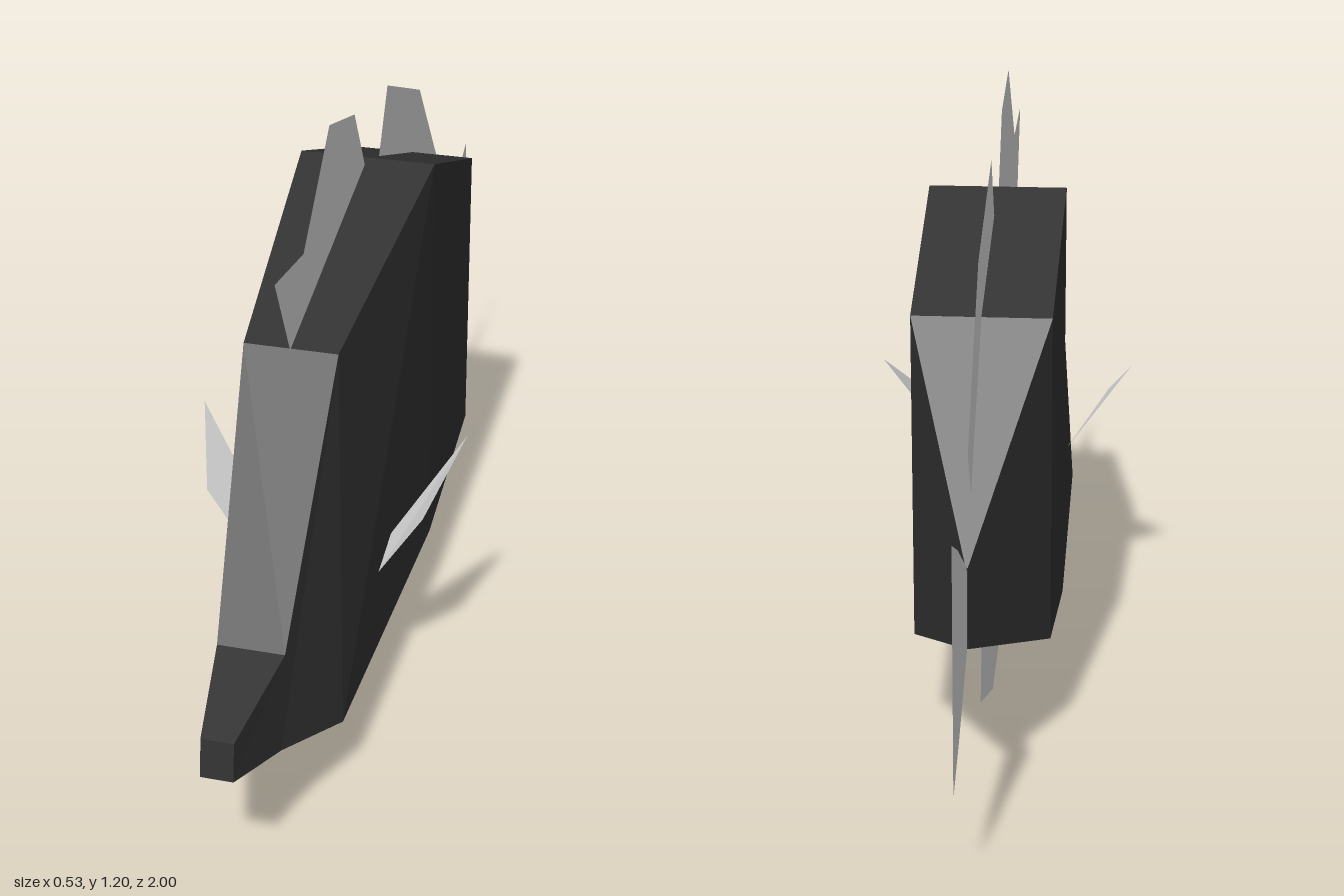
import * as THREE from 'three';

const bodyMat = new THREE.MeshStandardMaterial({ name: 'charcoal skin', color: 0x323232, flatShading: true });
const finMat = new THREE.MeshStandardMaterial({ name: 'pale fin', color: 0xe0e0e0, side: THREE.DoubleSide, flatShading: true });

function facets(triangles) {
  const geo = new THREE.BufferGeometry();
  geo.setAttribute('position', new THREE.Float32BufferAttribute(triangles.flat(2), 3));
  geo.computeVertexNormals();
  return geo;
}

const quad = (a, b, c, d) => [[a, b, c], [a, c, d]];

// Body: slanted four-cornered sections, snout to tail
// each: top z, top y, top half width, bottom z, bottom y, bottom half width
function bodyGeometry() {
  const sections = [
    [0.99, 0.37, 0.03, 1.0, 0.295, 0.03],
    [0.79, 0.42, 0.063, 0.83, 0.24, 0.065],
    [0.51, 0.88, 0.088, 0.63, 0.165, 0.125],
    [-0.04, 1.02, 0.135, -0.05, 0.165, 0.135],
    [-0.43, 0.87, 0.13, -0.43, 0.235, 0.13],
    [-0.74, 0.51, 0.002, -0.74, 0.355, 0.002],
  ];
  const rings = sections.map(([tz, ty, tw, bz, by, bw]) =>
    [[tw, ty, tz], [-tw, ty, tz], [-bw, by, bz], [bw, by, bz]]);
  const tris = [...quad(...rings[0])];
  for (let s = 0; s < rings.length - 1; s++) {
    const a = rings[s], b = rings[s + 1];
    for (let i = 0; i < 4; i++) {
      const j = (i + 1) % 4;
      tris.push(...quad(a[i], b[i], b[j], a[j]));
    }
  }
  tris.push(...quad(...rings[rings.length - 1].slice().reverse()));
  return facets(tris);
}

// Flat fin in the middle plane, outlined by (z, y) points
function finGeometry(outline) {
  const shape = new THREE.Shape(outline.map(([z, y]) => new THREE.Vector2(-z, y)));
  return new THREE.ShapeGeometry(shape).rotateY(Math.PI / 2);
}

export function createModel() {
  const model = new THREE.Group();
  model.name = 'fish';
  const add = (name, geo, mat) => {
    const mesh = new THREE.Mesh(geo, mat);
    mesh.name = name;
    model.add(mesh);
  };

  add('body', bodyGeometry(), bodyMat);

  // Fins along the middle plane
  const fins = {
    frontDorsalFin: [[0.51, 0.87], [0.6, 1.05], [0.42, 1.025], [0.24, 1.2], [0.06, 1.15], [-0.02, 1.01]],
    rearDorsalFin: [[-0.13, 0.98], [-0.2, 1.11], [-0.49, 0.99], [-0.71, 0.71], [-0.65, 0.61], [-0.43, 0.86]],
    tailFin: [[-0.74, 0.51], [-0.9, 0.61], [-1, 0.66], [-1, 0.205], [-0.9, 0.255], [-0.74, 0.355]],
    bellyFin: [[0.185, 0.17], [0.17, 0.06], [-0.18, 0], [-0.47, 0.115], [-0.44, 0.245], [-0.05, 0.17]],
  };
  for (const [name, outline] of Object.entries(fins)) add(name, finGeometry(outline), finMat);

  // Mirrored side fins
  for (const [name, s] of [['leftSideFin', 1], ['rightSideFin', -1]]) {
    const corners = [[0.125, 0.33, 0.375], [0.215, 0.47, 0.375], [0.267, 0.575, 0.22], [0.13, 0.365, 0.28]]
      .map(([x, y, z]) => [s * x, y, z]);
    add(name, facets(quad(...(s > 0 ? corners : corners.reverse()))), finMat);
  }
  return model;
}
